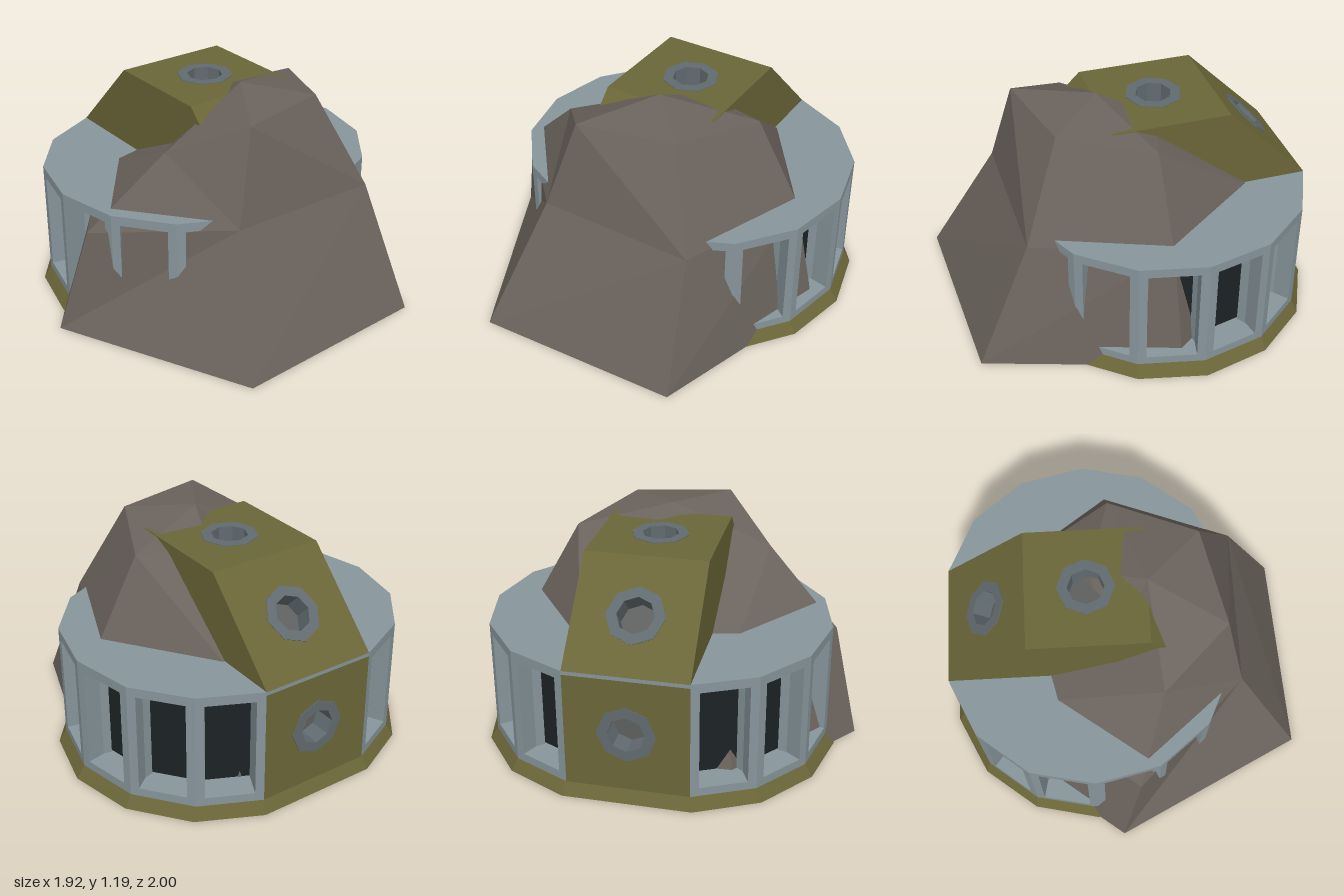
import * as THREE from 'three';
import { ConvexGeometry } from 'three/addons/geometries/ConvexGeometry.js';

const CX = -0.18, CZ = -0.05;      // centre of the round building
const FLOOR = 0.065, ROOF = 0.69, DEPTH = 0.15;

const mat = (color) => new THREE.MeshStandardMaterial({ color, flatShading: true });
const olive = mat(0x6b6638), steel = mat(0x87959b), rockMat = mat(0x6b635d);
const dark = mat(0x1c2224), trim = mat(0x616b70), glass = mat(0x5e6060);

function add(parent, name, geometry, material) {
  const mesh = new THREE.Mesh(geometry, material);
  mesh.name = name;
  parent.add(mesh);
  return mesh;
}

// Full outline, counter-clockwise from above, mirrored from one quarter
function outline(quarter) {
  const [p0, p1, p2, p3] = quarter;
  const half = [[-p3[0], p3[1]], [-p2[0], p2[1]], [-p1[0], p1[1]], p0, p1, p2, p3];
  const back = half.map(([x, z]) => [-x, -z]);
  return [...half, ...back].map(([x, z]) => [CX + x, CZ + z]);
}
const wallLine = outline([[0, 0.905], [0.34, 0.83], [0.605, 0.62], [0.75, 0.315]]);
const baseLine = outline([[0, 0.95], [0.35, 0.87], [0.63, 0.65], [0.785, 0.33]]);

const polygon = (pts) => new THREE.Shape(pts.map(([x, y]) => new THREE.Vector2(x, y)));
const rect = (x0, y0, x1, y1) => polygon([[x0, y0], [x1, y0], [x1, y1], [x0, y1]]);
const octagon = (r) => polygon(Array.from({ length: 8 }, (_, i) =>
  [r * Math.cos(i * Math.PI / 4), r * Math.sin(i * Math.PI / 4)]));

// Extrudes a shape so that its front lies at z = front
function slab(shape, depth, front = 0) {
  return new THREE.ExtrudeGeometry(shape, { depth, bevelEnabled: false }).translate(0, 0, front - depth);
}

// Group whose local x, y lie in a wall plane and whose z points outward
function plane(name, origin, u, v) {
  const g = new THREE.Group();
  g.name = name;
  const m = new THREE.Matrix4().makeBasis(u, v, u.clone().cross(v));
  g.quaternion.setFromRotationMatrix(m);
  g.position.copy(origin);
  return g;
}

// Window bay: frame with a deep opening and a dark pane behind
function windowBay(a, b) {
  const u = new THREE.Vector3(b[0] - a[0], 0, b[1] - a[1]);
  const w = u.length(), h = ROOF - 0.02 - FLOOR, m = 0.045;
  const bay = plane('windowBay', new THREE.Vector3(a[0], FLOOR, a[1]), u.normalize(), new THREE.Vector3(0, 1, 0));
  const frame = rect(0, 0, w, h);
  frame.holes.push(rect(m, m, w - m, 0.575));
  add(bay, 'windowFrame', slab(frame, DEPTH), steel);
  add(bay, 'darkPane', new THREE.PlaneGeometry(w - 0.06, h - 0.03), dark)
    .position.set(w / 2, h / 2, -DEPTH + 0.004);
  return bay;
}

// Booth panel between two profile points, with an optional porthole
function boothPanel(p, q, hasPorthole) {
  const v = new THREE.Vector3(q[0] - p[0], q[1] - p[1], 0);
  const h = v.length() / 2, w = 0.315;
  const panel = plane('boothPanel', new THREE.Vector3((p[0] + q[0]) / 2, (p[1] + q[1]) / 2, CZ),
    new THREE.Vector3(0, 0, 1), v.normalize());
  const sheet = rect(-w, -h, w, h);
  if (hasPorthole) {
    sheet.holes.push(octagon(0.12));
    const ring = octagon(0.15);
    ring.holes.push(octagon(0.095));
    add(panel, 'portholeRing', slab(ring, 0.12, 0.004), trim);
    add(panel, 'portholeGlass', new THREE.CircleGeometry(0.1, 8), glass).position.z = -0.11;
  }
  add(panel, 'boothSheet', slab(sheet, 0.05), olive);
  return panel;
}

// Faceted rock: base ring, middle ring, shoulder points and a peak
function rockGeometry() {
  const v = [
    [-0.04, 0, 1], [0.96, 0, 0.51], [0.91, 0, -0.58], [-0.08, 0, -0.9], [-0.78, 0, -0.4], [-0.75, 0, 0.45],
    [0.055, 0.57, 0.86], [0.62, 0.66, 0.33], [0.62, 0.65, -0.51],
    [-0.06, 0.66, -0.77], [-0.68, 0.62, -0.35], [-0.6, 0.57, 0.37],
    [0.19, 0.955, 0.47], [0.52, 1.14, 0.19], [0.41, 1.14, -0.32],
    [-0.05, 1.09, -0.53], [-0.16, 1.06, -0.16], [-0.07, 0.85, 0.24],
    [0.13, 1.185, -0.05],
  ];
  const faces = [[5, 4, 3, 2, 1, 0], [12, 6, 7, 13], [13, 7, 8, 14], [14, 8, 9, 15],
    [15, 9, 10, 16], [17, 16, 10, 11], [17, 11, 12], [11, 6, 12]];
  for (let i = 0; i < 6; i++) {
    const j = (i + 1) % 6;
    faces.push([i, j, 6 + j, 6 + i], [18, 12 + i, 12 + j]);
  }
  const pos = [];
  for (const f of faces)
    for (let k = 1; k < f.length - 1; k++) pos.push(...v[f[0]], ...v[f[k]], ...v[f[k + 1]]);
  const g = new THREE.BufferGeometry();
  g.setAttribute('position', new THREE.Float32BufferAttribute(pos, 3));
  g.computeVertexNormals();
  return g;
}

export function createModel() {
  const model = new THREE.Group();
  model.name = 'rockPavilion';

  // Sloping plinth
  const at = (y) => ([x, z]) => new THREE.Vector3(x, y, z);
  add(model, 'plinth', new ConvexGeometry([...baseLine.map(at(0)), ...wallLine.map(at(FLOOR))]), olive);

  // Window bays on every side except the two flat ends
  wallLine.forEach((a, i) => {
    if (i % 7 !== 6) model.add(windowBay(a, wallLine[(i + 1) % 14]));
  });

  // Flat roof
  const roof = slab(polygon(wallLine.map(([x, z]) => [x, -z])), 0.02).rotateX(-Math.PI / 2);
  add(model, 'roof', roof.translate(0, ROOF, 0), steel);

  // Booth with sloped ends rising through the roof
  const booth = new THREE.Group();
  booth.name = 'booth';
  const profile = [[-0.93, FLOOR], [-0.93, ROOF], [-0.49, 1.13], [0.13, 1.13], [0.57, ROOF]];
  for (let i = 0; i < 4; i++) booth.add(boothPanel(profile[i], profile[i + 1], i < 3));
  const side = polygon(profile.slice(1));
  add(booth, 'boothSide', slab(side, 0.02, CZ + 0.315), olive);
  add(booth, 'boothSide', slab(side, 0.02, CZ - 0.295), olive);
  model.add(booth);

  // Rock breaking through the building, a hair above the plinth's underside
  add(model, 'rock', rockGeometry(), rockMat).position.y = 0.002;
  return model;
}
